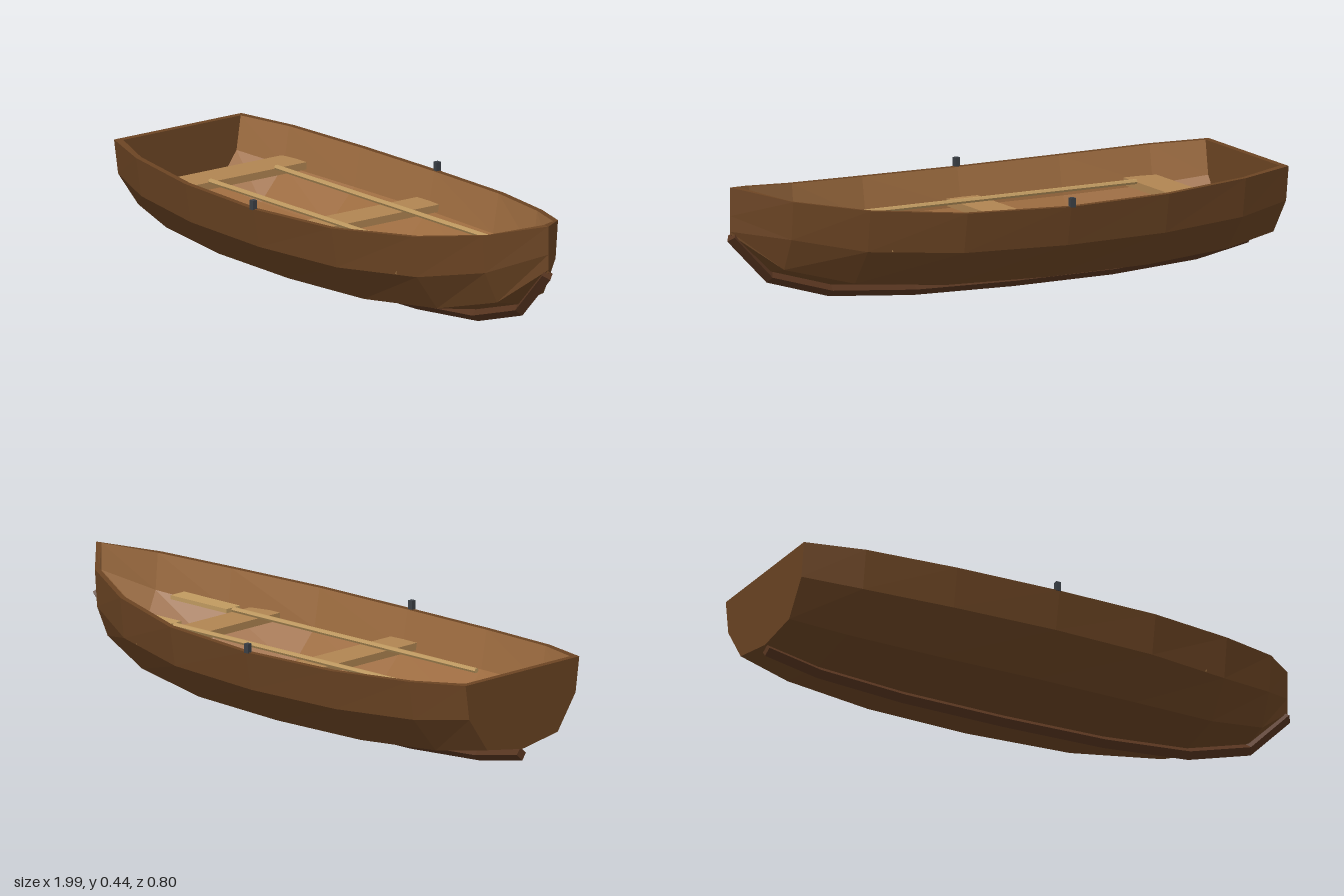
import * as THREE from 'three';

const mat = (color) => new THREE.MeshStandardMaterial({ color, flatShading: true, roughness: 0.85 });

// Surface through rows of [x, y, z] points, faceted; flip turns the faces over
function grid(rows, flip = false) {
  const pos = [];
  for (let i = 0; i < rows.length - 1; i++) {
    for (let j = 0; j < rows[i].length - 1; j++) {
      const a = rows[i][j], b = rows[i + 1][j], c = rows[i][j + 1], d = rows[i + 1][j + 1];
      const tris = flip ? [a, b, c, c, b, d] : [a, c, b, c, d, b];
      tris.forEach((p) => pos.push(...p));
    }
  }
  const geo = new THREE.BufferGeometry();
  geo.setAttribute('position', new THREE.Float32BufferAttribute(pos, 3));
  geo.computeVertexNormals();
  return geo;
}

// Stations from stern to bow: x, half beam, heights of sheer, upper chine, lower chine and bottom
const stations = [
  [-1.0, 0.27, 0.365, 0.245, 0.125, 0.098],
  [-0.8, 0.335, 0.355, 0.22, 0.095, 0.061],
  [-0.48, 0.382, 0.342, 0.206, 0.077, 0.042],
  [-0.1, 0.395, 0.338, 0.204, 0.075, 0.04],
  [0.28, 0.366, 0.348, 0.21, 0.082, 0.048],
  [0.6, 0.275, 0.372, 0.23, 0.108, 0.076],
  [0.83, 0.16, 0.405, 0.275, 0.165, 0.143],
  [0.98, 0, 0.442, 0.345, 0.292, 0.283],
];
const BEAM = [1, 0.935, 0.62, 0];

// One cross-section from the left sheer under the bottom to the right sheer
function section([x, beam, ...ys], wall) {
  const half = ys.map((y, k) => [
    x,
    y + wall * [0, 0.2, 0.85, 1][k],
    Math.max(0, beam * BEAM[k] - wall * [1, 1, 0.6, 0][k]),
  ]);
  return [...half, ...half.slice(0, 3).reverse().map(([px, y, z]) => [px, y, -z])];
}

export function createModel() {
  const boat = new THREE.Group();
  boat.name = 'rowingBoat';
  const hullMat = mat(0x6b4423), innerMat = mat(0x9c6b3f), keelMat = mat(0x56341f);
  const seatMat = mat(0xb08552), oarMat = mat(0xc09a60), ironMat = mat(0x3a3f45);

  const add = (name, geo, material, x = 0, y = 0, z = 0, parent = boat) => {
    const mesh = new THREE.Mesh(geo, material);
    mesh.name = name;
    mesh.position.set(x, y, z);
    parent.add(mesh);
    return mesh;
  };

  // Hull shell
  const last = stations.length - 1;
  const outer = stations.map((s) => section(s, 0));
  const inner = stations.map((s, i) => {
    const x = i === 0 ? -0.977 : i === last ? 0.955 : s[0];
    return section([x, ...s.slice(1)], 0.021);
  });
  add('hullOutside', grid(outer), hullMat);
  add('hullInside', grid(inner, true), innerMat);

  // Top edge of the planking
  for (const [side, j] of [['left', 0], ['right', 6]]) {
    add(side + 'Rim', grid([outer.map((r) => r[j]), inner.map((r) => r[j])], j === 6), hullMat);
  }

  // Transom: outer face, inner face and top edge
  const across = (r) => [r.slice(0, 4), r.slice(3).reverse()];
  add('transomOutside', grid(across(outer[0]), true), hullMat);
  add('transomInside', grid(across(inner[0])), hullMat);
  add('transomTop', grid([[outer[0][0], outer[0][6]], [inner[0][0], inner[0][6]]], true), hullMat);

  // Keel and stem: a four-sided bar following the bottom
  const path = stations.map((s, i) => [i === 0 ? -0.995 : i === last ? 0.975 : s[0], s[5] - 0.018]);
  path[last][1] = 0.275;
  const bar = path.map(([x, y], i) => {
    const p = path[Math.max(0, i - 1)], q = path[Math.min(last, i + 1)];
    const t = new THREE.Vector2(q[0] - p[0], q[1] - p[1]).normalize();
    return [0, 1, 2, 3, 4].map((k) => {
      const up = 0.022 * Math.cos(k * Math.PI / 2);
      return [x - t.y * up, y + t.x * up, 0.022 * Math.sin(k * Math.PI / 2)];
    });
  });
  const cap = ([x, y]) => Array.from({ length: 5 }, () => [x, y, 0]);
  add('keel', grid([cap(path[0]), ...bar, cap(path[last])]), keelMat);

  // Seats: x, top height, length across
  for (const [name, x, top, length] of [
    ['sternSeat', -0.755, 0.255, 0.61],
    ['middleSeat', -0.105, 0.24, 0.71],
    ['bowSeat', 0.46, 0.252, 0.56],
  ]) {
    add(name, new THREE.BoxGeometry(0.12, 0.025, length), seatMat, x, top - 0.0125, 0);
  }

  // Oars lying on the seats, and oarlocks on the rim
  const shaft = new THREE.CylinderGeometry(0.009, 0.009, 1.15, 6).rotateZ(Math.PI / 2);
  const blade = new THREE.BoxGeometry(0.26, 0.014, 0.065);
  const lock = new THREE.BoxGeometry(0.018, 0.032, 0.018);
  for (const [side, s] of [['left', -1], ['right', 1]]) {
    const oar = new THREE.Group();
    oar.name = s < 0 ? 'backOar' : 'frontOar';
    oar.position.set(0, 0.275, 0.14 * s);
    add('oarShaft', shaft, oarMat, -0.075, 0, 0, oar);
    add('oarBlade', blade, oarMat, 0.61, 0, 0, oar);
    boat.add(oar);
    add(s < 0 ? 'backOarlock' : 'frontOarlock', lock, ironMat, -0.105, 0.352, 0.39 * s);
  }
  return boat;
}
